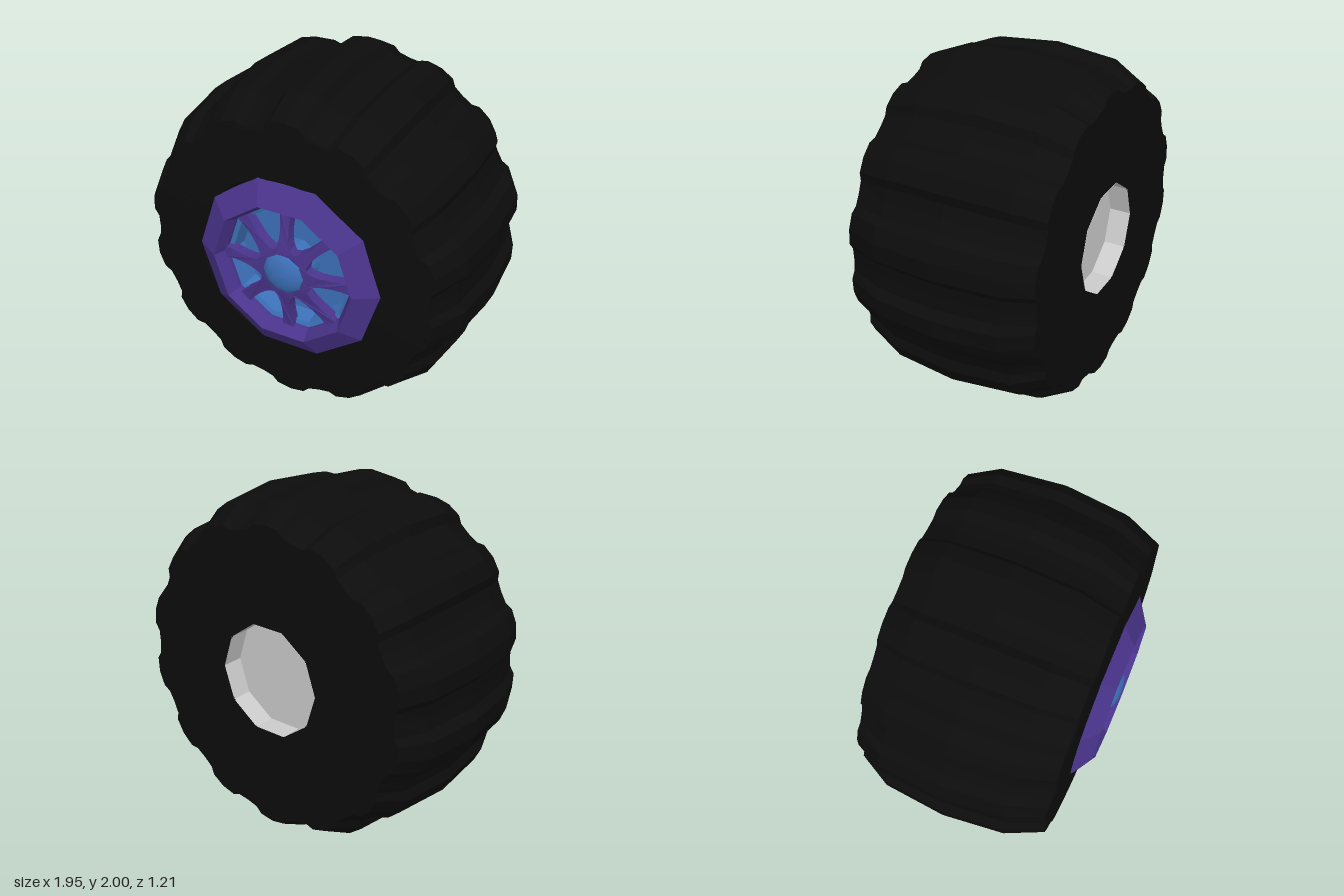
import * as THREE from 'three';

const paint = (color, flatShading = true) =>
  new THREE.MeshStandardMaterial({ color, flatShading, side: THREE.DoubleSide });

const SIDES = 10;
const KNOBS = 14;
const HOLE = 0.32;

// Radius of a ten-sided outline with corners on the x axis
function decagon(radius, angle) {
  const step = (2 * Math.PI) / SIDES;
  const a = ((angle % step) + step) % step;
  return (radius * Math.cos(step / 2)) / Math.cos(a - step / 2);
}

// Tyre skin: one loop per station across the width, scalloped by the tread knobs
function tyreGeometry() {
  // z, knob radius, groove radius
  const stations = [
    [0.49, 0.5, 0.5], [0.515, 0.53, 0.53], [0.5, 0.82, 0.815], [0.495, 0.872, 0.825],
    [0.285, 0.965, 0.9], [-0.07, 1.0, 0.93], [-0.43, 0.965, 0.9],
    [-0.6, 0.872, 0.825], [-0.6, 0.8, 0.8], [-0.6, HOLE, HOLE],
  ];
  // angle from the knob centre in degrees, share of the knob height
  const knob = [[-8.2, 0.15], [-5.6, 0.79], [0, 1], [5.6, 0.79], [8.2, 0.15], [12.86, 0]];
  const around = KNOBS * knob.length;
  const positions = [];
  const index = [];
  stations.forEach(([z, high, low], s) => {
    for (let i = 0; i < around; i++) {
      const [offset, share] = knob[i % knob.length];
      const turn = (Math.floor(i / knob.length) * 360) / KNOBS;
      const a = THREE.MathUtils.degToRad(90 + turn + offset);
      const last = s === stations.length - 1;
      const r = last ? decagon(HOLE, a) : low + (high - low) * share;
      positions.push(r * Math.cos(a), r * Math.sin(a), z);
      if (last) continue;
      const j = (i + 1) % around;
      const p = s * around + i, q = s * around + j;
      index.push(p, p + around, q, q, p + around, q + around);
    }
  });
  const geometry = new THREE.BufferGeometry();
  geometry.setAttribute('position', new THREE.Float32BufferAttribute(positions, 3));
  geometry.setIndex(index);
  geometry.computeVertexNormals();
  return geometry;
}

// Ten-sided turned part about the z axis, from [radius, z] points
function turned(name, points, material) {
  const profile = points.map(([r, z]) => new THREE.Vector2(r, z));
  const geometry = new THREE.LatheGeometry(profile, SIDES, Math.PI / 2);
  geometry.rotateX(Math.PI / 2);
  const mesh = new THREE.Mesh(geometry, material);
  mesh.name = name;
  return mesh;
}

// Spoke flared at both ends, sloping back toward the rim
function spokeGeometry() {
  const outline = [[0.08, 0.07], [0.125, 0.066], [0.16, 0.04], [0.21, 0.028],
    [0.27, 0.025], [0.33, 0.029], [0.39, 0.036]];
  const shape = new THREE.Shape([
    ...outline.map(([r, w]) => new THREE.Vector2(w, r)),
    ...outline.slice().reverse().map(([r, w]) => new THREE.Vector2(-w, r)),
  ]);
  const geometry = new THREE.ExtrudeGeometry(shape, { depth: 0.06, bevelEnabled: false });
  const pos = geometry.attributes.position;
  for (let i = 0; i < pos.count; i++) {
    const t = (pos.getY(i) - 0.08) / 0.31;
    pos.setZ(i, pos.getZ(i) + 0.49 + 0.02 * Math.cos(Math.PI * t));
  }
  geometry.computeVertexNormals();
  return geometry;
}

export function createModel() {
  const model = new THREE.Group();
  model.name = 'wheel';
  const purple = paint(0x4a348c);
  const blue = paint(0x3c70b8);

  const tyre = new THREE.Mesh(tyreGeometry(), paint(0x0c0c0c));
  tyre.name = 'tyre';
  tyre.position.y = 1;
  model.add(tyre);

  // Recessed grey plate on the back
  const plate = turned('backPlate', [[0.001, -0.48], [HOLE, -0.48], [HOLE, -0.602]], paint(0xcccccc));
  plate.position.y = 1;
  model.add(plate);

  const hub = new THREE.Group();
  hub.name = 'hub';
  hub.position.set(0.014, 0.998, 0);
  model.add(hub);

  hub.add(
    turned('rim', [[0.56, 0.48], [0.55, 0.515], [0.42, 0.595], [0.385, 0.52], [0.385, 0.5]], purple),
    turned('dish', [[0.388, 0.5], [0.36, 0.49], [0.345, 0.4], [0.001, 0.4]], blue),
    turned('hubCap', [[0.132, 0.4], [0.132, 0.555], [0.115, 0.575], [0.085, 0.591], [0.045, 0.601], [0.001, 0.604]],
      paint(0x3c70b8, false)),
  );

  // Eight spokes around the hub cap
  const spokeShape = spokeGeometry();
  for (let i = 0; i < 8; i++) {
    const spoke = new THREE.Mesh(spokeShape, purple);
    spoke.name = 'spoke';
    spoke.rotation.z = (i * Math.PI) / 4;
    hub.add(spoke);
  }
  return model;
}
